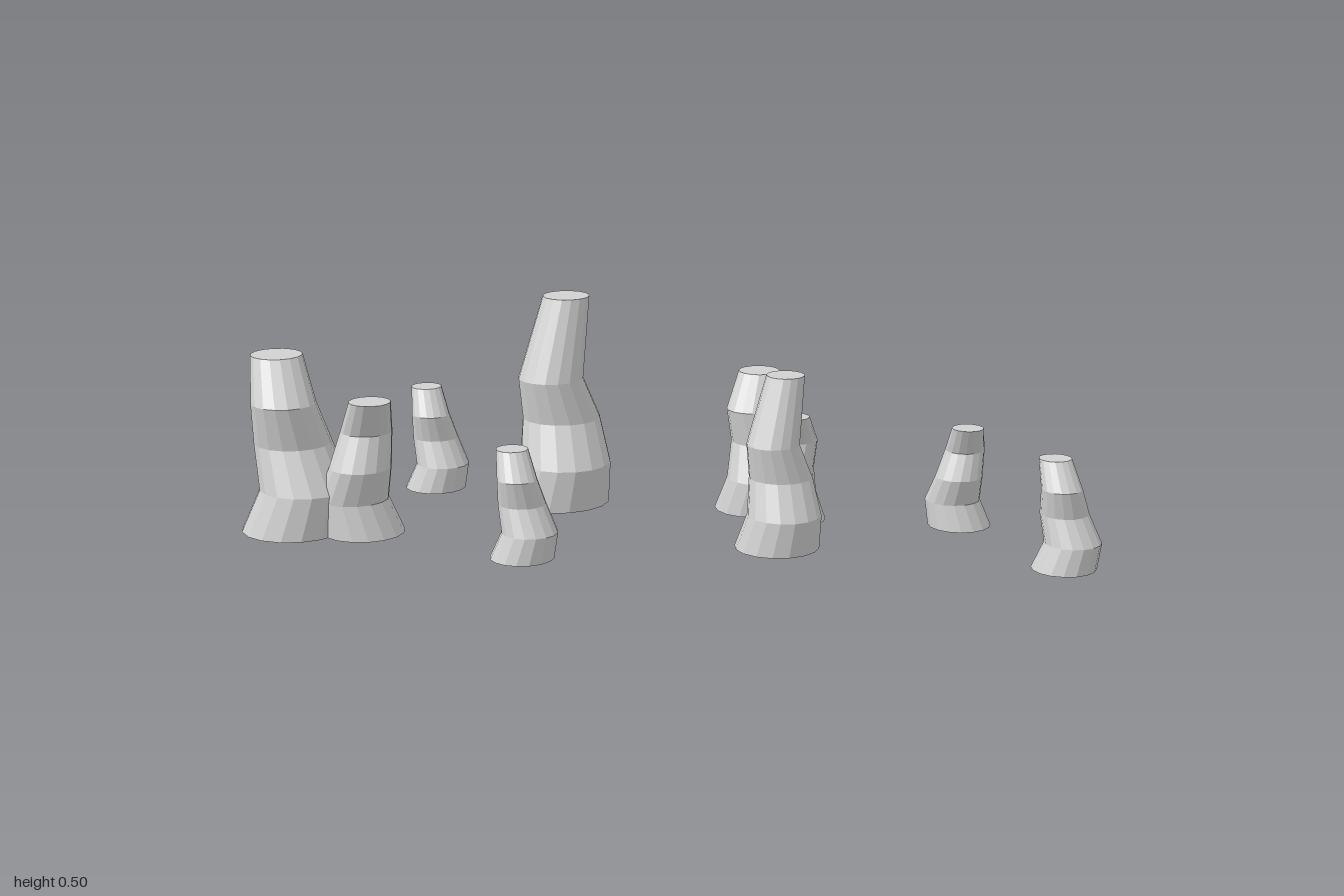
import * as THREE from 'three';

const SIDES = 16;
const BASE_RADIUS = 0.1225;

// Cross-sections from bottom to top: [height, radius, x shift, z shift], radius and shifts in base radii
const CROOKED = [
  [0, 1, 0, 0],
  [0.101, 0.875, 0.25, 0],
  [0.203, 0.75, -0.03, -0.24],
  [0.304, 0.625, -0.13, 0],
  [0.406, 0.5, -0.36, -0.46],
];
const TALL = [
  [0, 1, 0, 0],
  [0.101, 0.875, 0.18, 0.1],
  [0.203, 0.75, 0.06, -0.19],
  [0.304, 0.625, -0.11, -0.02],
  [0.496, 0.45, 0.13, -0.43],
];

// Faceted column whose rings are shifted and narrowed section by section
function columnGeometry(sections) {
  const steps = sections.length - 1;
  const geometry = new THREE.CylinderGeometry(1, 1, 1, SIDES, steps).toNonIndexed();
  const pos = geometry.attributes.position;
  for (let i = 0; i < pos.count; i++) {
    const [y, r, dx, dz] = sections[Math.round((pos.getY(i) + 0.5) * steps)];
    pos.setXYZ(
      i,
      (pos.getX(i) * r + dx) * BASE_RADIUS,
      y,
      (pos.getZ(i) * r + dz) * BASE_RADIUS
    );
  }
  geometry.computeVertexNormals();
  return geometry;
}

export function createModel() {
  const group = new THREE.Group();
  group.name = 'stalagmites';
  const stone = new THREE.MeshStandardMaterial({ color: 0xd1d1d1 });
  stone.name = 'light grey stone';

  const crooked = columnGeometry(CROOKED);
  const tall = columnGeometry(TALL);

  // [name, geometry, x, z, scale, turn in degrees, height stretch]
  const columns = [
    ['largeStalagmite', crooked, -0.878, 0.122, 1, 0, 1],
    ['largeTallStalagmite', tall, -0.306, -0.205, 1.03, 0, 0.971],
    ['mediumStalagmiteLeft', crooked, 0.178, -0.205, 0.8, 39, 1],
    ['mediumStalagmiteRight', crooked, -0.711, 0.122, 0.8, 182, 1],
    ['mediumTallStalagmite', tall, 0.262, 0.12, 0.8, 0, 1],
    ['smallStalagmiteBack', crooked, -0.624, -0.284, 0.605, 0, 1],
    ['smallStalagmiteFront', crooked, -0.304, 0.281, 0.605, 0, 1],
    ['smallStalagmiteEnd', crooked, 0.918, 0.2, 0.605, 0, 1],
    ['smallStalagmiteMiddle', crooked, 0.28, -0.118, 0.605, 217, 1.06],
    ['smallStalagmiteLeft', crooked, 0.671, -0.119, 0.605, 196, 1],
  ];

  for (const [name, geometry, x, z, scale, turn, stretch] of columns) {
    const mesh = new THREE.Mesh(geometry, stone);
    mesh.name = name;
    mesh.position.set(x, 0, z);
    mesh.scale.set(scale, scale * stretch, scale);
    mesh.rotation.y = -THREE.MathUtils.degToRad(turn);
    group.add(mesh);
  }
  return group;
}
